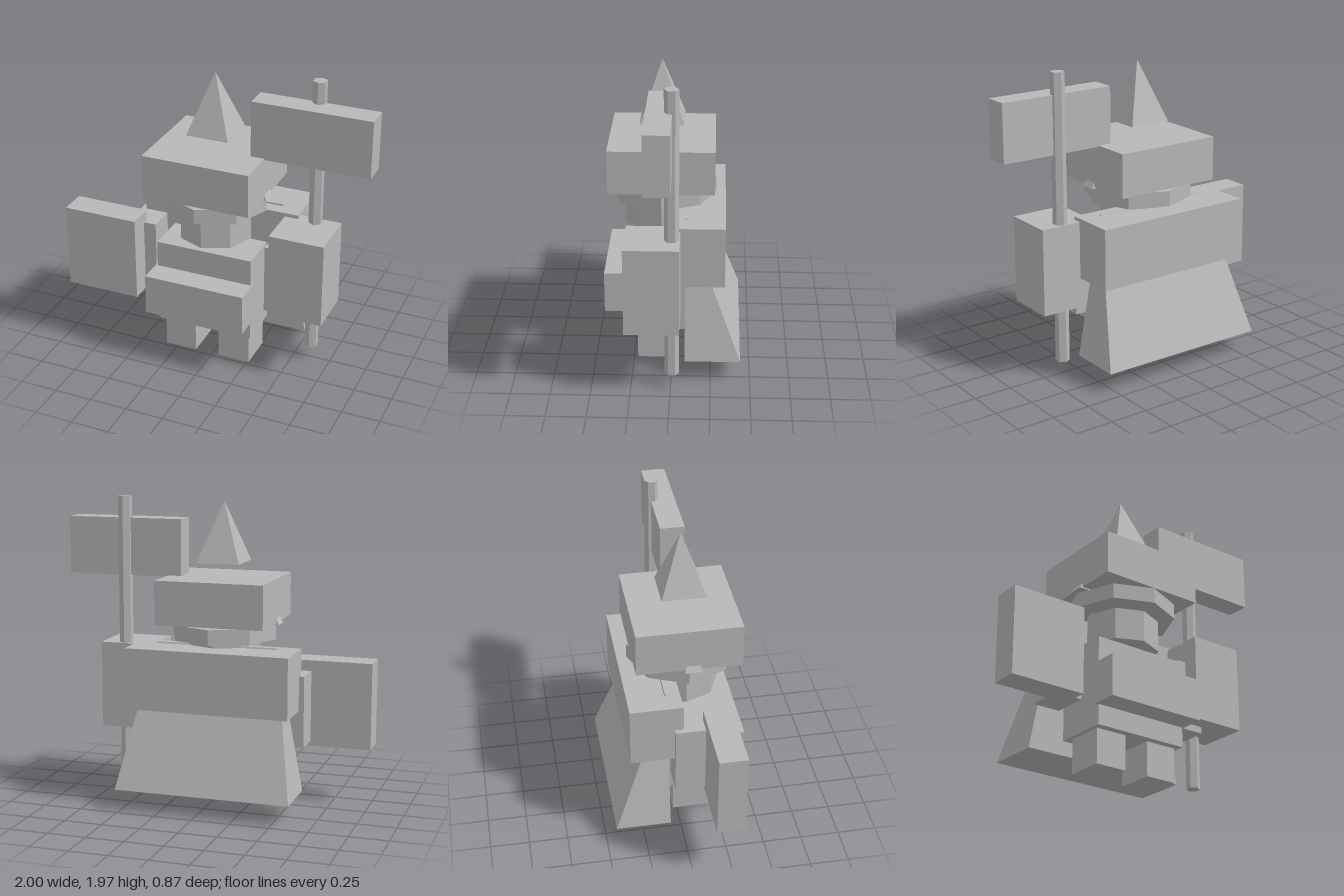
import * as THREE from 'three';

export function createModel() {
  const model = new THREE.Group();
  model.name = 'blockFigure';
  const stone = new THREE.MeshStandardMaterial({ color: 0xb8b8b8, flatShading: true });
  stone.name = 'plain grey';
  const MID = -0.035; // centre line of the body

  function add(name, geometry, x, y, z) {
    const mesh = new THREE.Mesh(geometry, stone);
    mesh.name = name;
    mesh.position.set(x, y, z);
    model.add(mesh);
    return mesh;
  }

  // Box given by its extents on each axis
  function block(name, [x0, x1], [y0, y1], [z0, z1]) {
    return add(name, new THREE.BoxGeometry(x1 - x0, y1 - y0, z1 - z0),
      (x0 + x1) / 2, (y0 + y1) / 2, (z0 + z1) / 2);
  }

  // Upright prism with a corner facing the front
  function prism(name, radius, sides, [y0, y1], x, z) {
    return add(name, new THREE.CylinderGeometry(radius, radius, y1 - y0, sides), x, (y0 + y1) / 2, z);
  }

  // Four-sided pyramid with its base aligned to the axes
  function pyramid(name, halfX, height, halfZ, x, y, z) {
    const g = new THREE.ConeGeometry(Math.SQRT2, height, 4);
    g.rotateY(Math.PI / 4);
    g.scale(halfX, 1, halfZ);
    return add(name, g, x, y + height / 2, z);
  }

  // Torso and belly
  block('torso', [-0.36, 0.29], [0.225, 0.8], [-0.085, 0.275]);
  block('belly', [-0.375, 0.3], [0.355, 0.625], [0.255, 0.435]);
  block('shoulders', [-0.57, 0.5], [0.64, 1.035], [-0.335, 0]);

  // Legs and arms, mirrored about the centre line
  for (const [side, s] of [['left', 1], ['right', -1]]) {
    const leg = MID + s * 0.19;
    block(side + 'Leg', [leg - 0.107, leg + 0.107], [0, 0.225], [-0.025, 0.225]);
    const arm = MID + s * 0.475;
    block(side + 'Arm', [arm - 0.094, arm + 0.094], [0.4, 0.865], [-0.055, 0.18]);
    pyramid(side + 'Ear', 0.12, 0.2, 0.055, MID + s * 0.257, 1.172, 0.09);
  }

  // Cape: a box narrowed to a ridge at the top
  const cape = new THREE.BoxGeometry(1, 1, 1);
  const p = cape.attributes.position;
  for (let i = 0; i < p.count; i++) {
    const top = p.getY(i) > 0;
    const back = p.getZ(i) < 0;
    p.setXYZ(i,
      MID + p.getX(i) * (top ? 0.8 : 1.147),
      top ? 1.045 : 0.13,
      back ? (top ? -0.095 : -0.438) : -0.086);
  }
  cape.computeVertexNormals();
  add('cape', cape, 0, 0, 0);

  // Neck, head and hat
  prism('neck', 0.242, 8, [0.845, 1.052], MID, 0.07);
  prism('head', 0.347, 8, [1.07, 1.17], MID, 0.07);
  block('hat', [-0.39, 0.32], [1.182, 1.465], [-0.266, 0.403]);
  pyramid('hatSpike', 0.14, 0.39, 0.14, MID, 1.56, 0.07);

  // Shield in the right hand
  block('shield', [-1, -0.5], [0.37, 0.935], [0.135, 0.315]);

  // Left gauntlet holding the hammer
  block('gauntlet', [0.41, 0.77], [0.445, 1.012], [-0.057, 0.283]);
  prism('hammerPole', 0.045, 6, [0.092, 1.97], 0.613, -0.008);
  block('hammerHead', [0.23, 1], [1.457, 1.83], [-0.012, 0.145]);

  return model;
}
